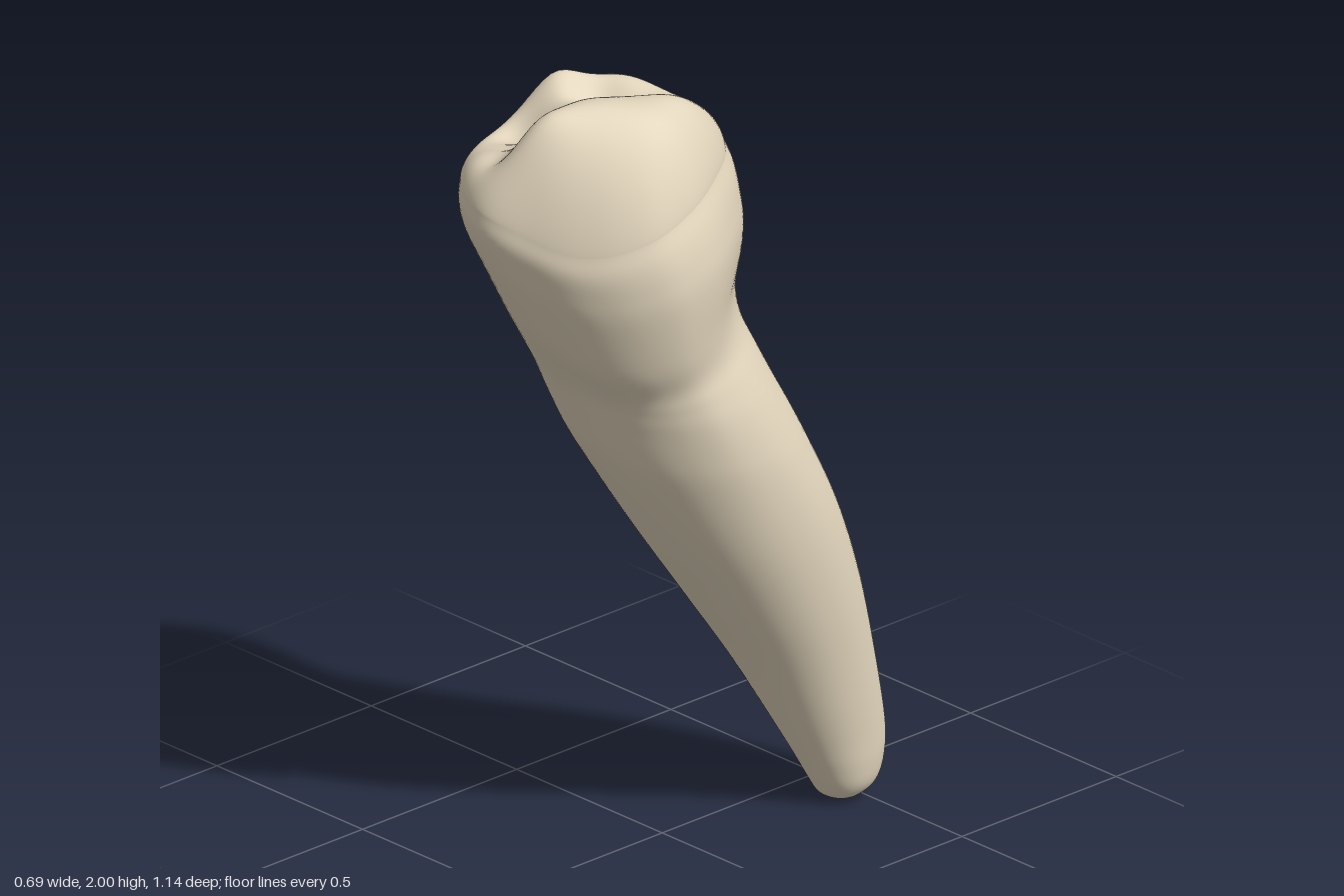
import * as THREE from 'three';

const SEGMENTS = 96;
const { lerp, smoothstep } = THREE.MathUtils;

// Root, neck and lower crown sections: [y, xMin, xMax, zMin, zMax]
const SECTIONS = [
  [0.005, 0.095, 0.15, -0.47, -0.43],
  [0.015, 0.072, 0.182, -0.50, -0.405],
  [0.05, 0.048, 0.212, -0.54, -0.382],
  [0.11, 0.025, 0.226, -0.563, -0.35],
  [0.2, -0.003, 0.236, -0.567, -0.30],
  [0.4, -0.063, 0.262, -0.53, -0.185],
  [0.6, -0.11, 0.292, -0.48, -0.05],
  [0.8, -0.147, 0.317, -0.41, 0.088],
  [1.0, -0.19, 0.331, -0.32, 0.214],
  [1.1, -0.22, 0.332, -0.278, 0.27],
  [1.2, -0.248, 0.327, -0.235, 0.312],
  [1.28, -0.262, 0.316, -0.207, 0.345],
  [1.35, -0.27, 0.308, -0.192, 0.383],
  [1.45, -0.285, 0.325, -0.195, 0.443],
  [1.6, -0.325, 0.345, -0.209, 0.517],
  [1.68, -0.347, 0.343, -0.207, 0.55],
  [1.74, -0.338, 0.332, -0.195, 0.567],
  [1.79, -0.323, 0.314, -0.172, 0.565],
];
const NECK_SECTION = 12;
const STEPS = 5; // rings between two sections

// Crown outline seen from above, scaled to a unit box
const OUTLINE = new THREE.CatmullRomCurve3([
  [1, 0.16], [0.98, 0.32], [0.85, 0.52], [0.62, 0.71], [0.32, 0.87], [-0.03, 1], [-0.3, 0.94],
  [-0.61, 0.73], [-0.89, 0.33], [-1, -0.22], [-0.92, -0.49], [-0.69, -0.8], [-0.29, -1],
  [0.14, -0.92], [0.46, -0.73], [0.72, -0.45], [0.94, -0.11],
].map(([u, v]) => new THREE.Vector3(u, 0, v)), true).getSpacedPoints(SEGMENTS).slice(0, SEGMENTS);

// Cusps and grooves of the chewing surface: [x, z, radius, height]
const RELIEF = [
  [0.08, 0.3, 0.18, 0.1],       // main cusp
  [0.05, 0.45, 0.09, 0.06],     // front ridge of the main cusp
  [0.13, 0.06, 0.13, 0.05],     // back ridge of the main cusp
  [0.24, 0.2, 0.1, 0.03],       // shoulder of the main cusp
  [-0.1, -0.2, 0.15, -0.05],    // slope to the back
  [-0.16, -0.03, 0.1, 0.03],    // low back cusp
  [-0.28, 0.09, 0.08, 0.06],    // side rim
  [-0.14, 0.08, 0.065, -0.05],  // back basin
  [-0.05, 0.05, 0.065, -0.04],
  [-0.24, 0.25, 0.08, -0.07],   // side notch
  [-0.16, 0.25, 0.065, -0.035],
  [-0.23, 0.37, 0.12, -0.06],   // low front rim
  [-0.11, 0.35, 0.075, -0.05],  // front groove
  [-0.06, 0.46, 0.07, -0.05],
];
const chewingHeight = (x, z) => RELIEF.reduce(
  (h, [cx, cz, r, a]) => h + a * Math.exp(-((x - cx) ** 2 + (z - cz) ** 2) / (r * r)), 1.9);

// 1 in the given direction around the tooth, falling to 0 at the sides
const facing = (angle, direction) => Math.max(0, Math.cos(angle - direction)) ** 4;
const rounded = (value) => Math.sign(value) * Math.abs(value) ** 0.94;

// Rings up to the rim of the crown, turning from oval root to crown outline
function sectionRings() {
  const curve = (a, b) => new THREE.CatmullRomCurve3(
    SECTIONS.map((s) => new THREE.Vector3(s[a], s[0], s[b])), false, 'catmullrom', 0.5);
  const xs = curve(1, 2), zs = curve(3, 4);
  const count = (SECTIONS.length - 1) * STEPS;
  return Array.from({ length: count + 1 }, (_, i) => {
    const x = xs.getPoint(i / count), z = zs.getPoint(i / count), y = x.y;
    const blend = smoothstep(y, 0.85, 1.6);
    return OUTLINE.map((p) => {
      const angle = Math.atan2(p.z, p.x);
      // The neck is pinched at the back left, and the crown bulges lower at the front left
      const pinch = 1 - 0.09 * Math.exp(-(((y - 1.43) / 0.1) ** 2)) * facing(angle, -Math.PI / 4);
      const drop = 0.1 * smoothstep(y, 1.1, 1.5) * facing(angle, Math.PI / 4);
      const u = pinch * lerp(rounded(Math.cos(angle)), p.x, blend);
      const v = pinch * lerp(rounded(Math.sin(angle)), p.z, blend);
      return [(x.x + x.z) / 2 + u * (x.z - x.x) / 2, y - drop, (z.x + z.z) / 2 + v * (z.z - z.x) / 2];
    });
  });
}

// Rings shrinking over the top, following the relief and rounding off at the rim
function chewingRings(rim) {
  const [, xMin, xMax, zMin, zMax] = SECTIONS[SECTIONS.length - 1];
  const cx = (xMin + xMax) / 2, cz = (zMin + zMax) / 2;
  const rings = [];
  for (let i = 1; i <= 48; i++) {
    const s = i < 48 ? Math.cos((i / 48) * Math.PI / 2) : 0.0005;
    const dome = (1 - s ** 6) ** 0.75;
    rings.push(rim.map(([px, py, pz]) => {
      const x = cx + (px - cx) * s, z = cz + (pz - cz) * s;
      return [x, lerp(py, chewingHeight(x, z), dome), z];
    }));
  }
  return rings;
}

export function createModel() {
  const lower = sectionRings();
  const rings = [...lower, ...chewingRings(lower[lower.length - 1])];
  // Close the root tip with one tiny ring
  rings.unshift(rings[0].map(([x, , z]) => [0.12 + (x - 0.12) * 0.01, 0, -0.45 + (z + 0.45) * 0.01]));

  const index = [];
  for (let i = 0; i < rings.length - 1; i++) {
    for (let j = 0; j < SEGMENTS; j++) {
      const k = (j + 1) % SEGMENTS;
      const a = i * SEGMENTS + j, b = i * SEGMENTS + k;
      index.push(a, a + SEGMENTS, b, b, a + SEGMENTS, b + SEGMENTS);
    }
  }
  const whole = new THREE.BufferGeometry();
  whole.setAttribute('position', new THREE.Float32BufferAttribute(rings.flat(2), 3));
  whole.setIndex(index);
  whole.computeVertexNormals();

  // Split at the neck, keeping the shared smooth normals
  const material = new THREE.MeshStandardMaterial({ color: 0xe4d7be });
  const split = (NECK_SECTION * STEPS + 1) * SEGMENTS * 6;
  const group = new THREE.Group();
  group.name = 'tooth';
  for (const [name, faces] of [['root', index.slice(0, split)], ['crown', index.slice(split)]]) {
    const geometry = whole.clone();
    geometry.setIndex(faces);
    const mesh = new THREE.Mesh(geometry, material);
    mesh.name = name;
    group.add(mesh);
  }
  return group;
}
